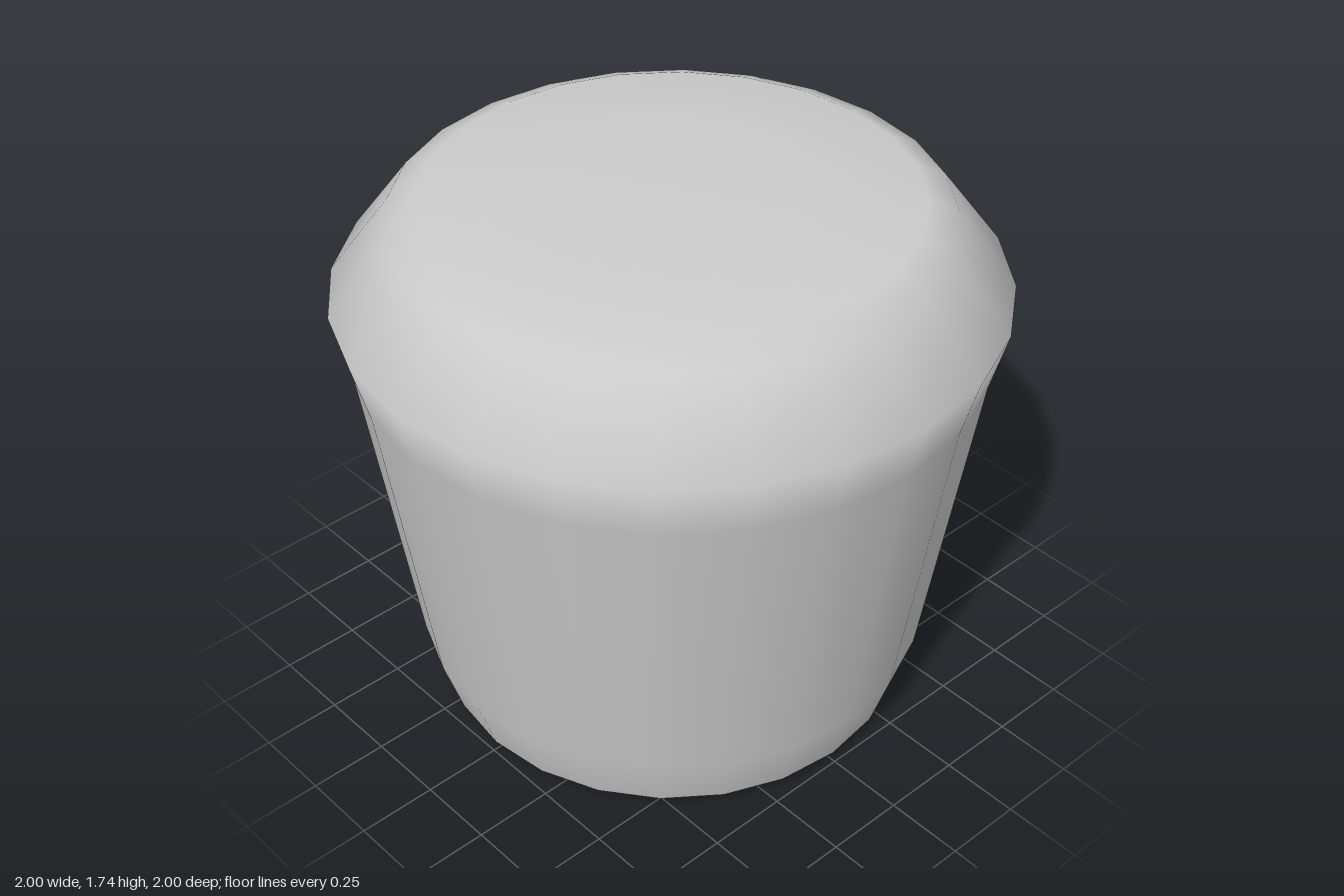
import * as THREE from 'three';

const SIDES = 24;

// Radius/height pairs run upwards for surfaces that face outwards, downwards for inner ones.
function lathePart(name, profile, material) {
  const points = profile.map(([r, y]) => new THREE.Vector2(r, y));
  const mesh = new THREE.Mesh(new THREE.LatheGeometry(points, SIDES), material);
  mesh.name = name;
  return mesh;
}

export function createModel() {
  const group = new THREE.Group();
  group.name = 'hollowCap';
  const material = new THREE.MeshStandardMaterial({ color: 0xcccccc });

  // Tapered wall, flared shoulder and gently domed top
  group.add(lathePart('outerShell', [
    [0.74, 0.03], [0.8, 0.22], [0.95, 1.24], [1, 1.43],
    [0.82, 1.67], [0.73, 1.71], [0.4, 1.74], [0, 1.74],
  ], material));

  // Bevelled foot around the opening
  group.add(lathePart('bottomRim', [
    [0.62, 0.02], [0.68, 0], [0.74, 0.03],
  ], material));

  // Cavity wall and ceiling
  group.add(lathePart('innerCavity', [
    [0, 1.58], [0.6, 1.56], [0.74, 1.48], [0.8, 1.24], [0.66, 0.22], [0.62, 0.02],
  ], material));

  return group;
}
